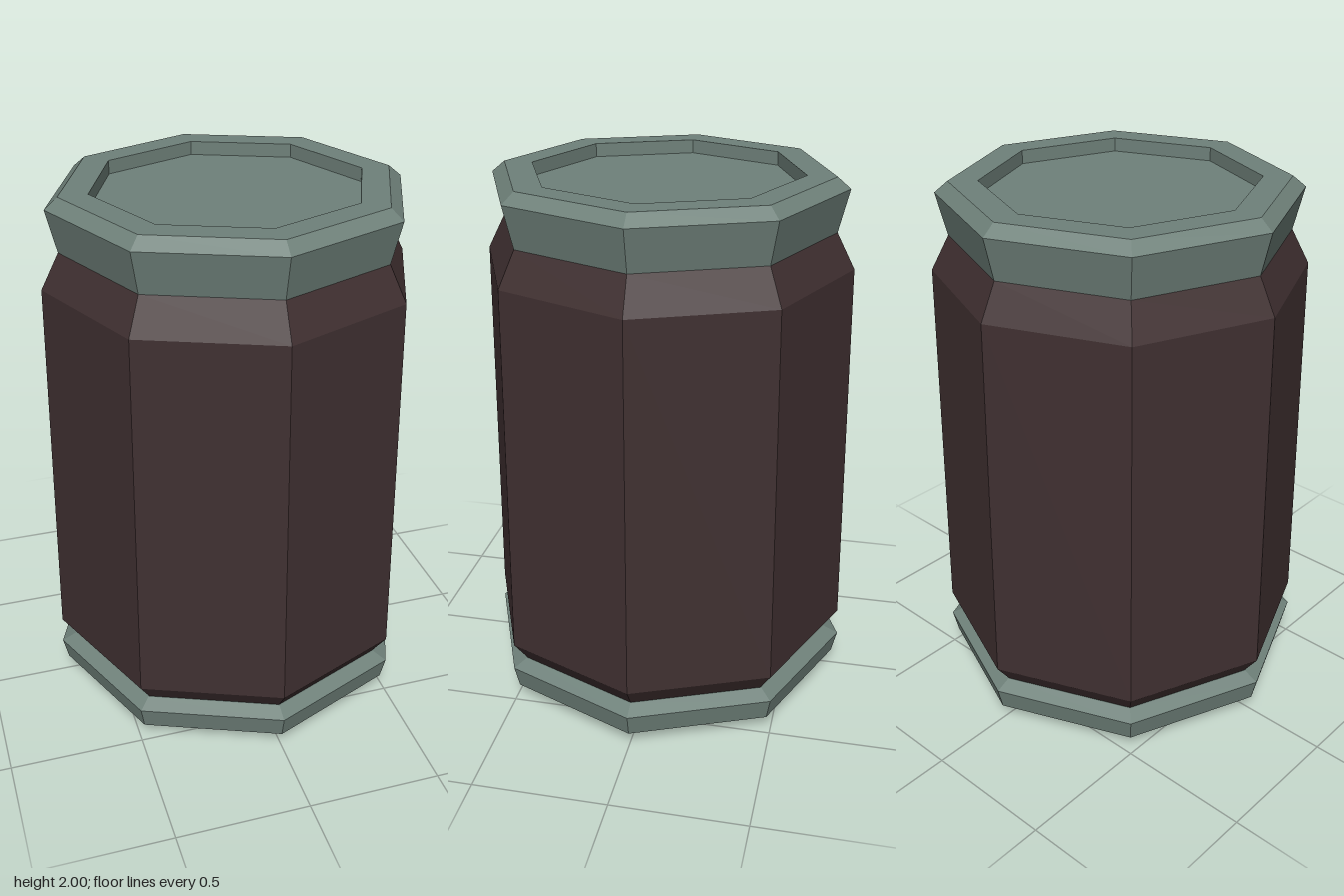
import * as THREE from 'three';

const SIDES = 8;

// Faceted eight-sided solid from a bottom-to-top profile of [radius, height]
function facetedPart(name, profile, material) {
  const points = profile.map(([r, y]) => new THREE.Vector2(r, y));
  const geometry = new THREE.LatheGeometry(points, SIDES).toNonIndexed();
  geometry.computeVertexNormals(); // one normal per facet
  const mesh = new THREE.Mesh(geometry, material);
  mesh.name = name;
  return mesh;
}

export function createModel() {
  const metal = new THREE.MeshStandardMaterial({ color: 0x6f817a });
  metal.name = 'greyGreenMetal';
  const brown = new THREE.MeshStandardMaterial({ color: 0x403031 });
  brown.name = 'darkBrown';

  const can = new THREE.Group();
  can.name = 'can';

  // Flared base rim with a chamfered underside
  can.add(facetedPart('baseRim', [
    [0, 0], [0.495, 0], [0.685, 0.06], [0.705, 0.145], [0.65, 0.172], [0.6, 0.172],
  ], metal));

  // Slightly tapering body with sloped shoulders
  can.add(facetedPart('body', [
    [0.64, 0.165], [0.7, 0.25], [0.677, 1.675], [0.61, 1.805],
  ], brown));

  // Flared lid with a bevelled edge and a sunken top panel
  can.add(facetedPart('lid', [
    [0.58, 1.803], [0.61, 1.803], [0.648, 1.96], [0.6, 2], [0.495, 2], [0.495, 1.95], [0, 1.95],
  ], metal));

  return can;
}
